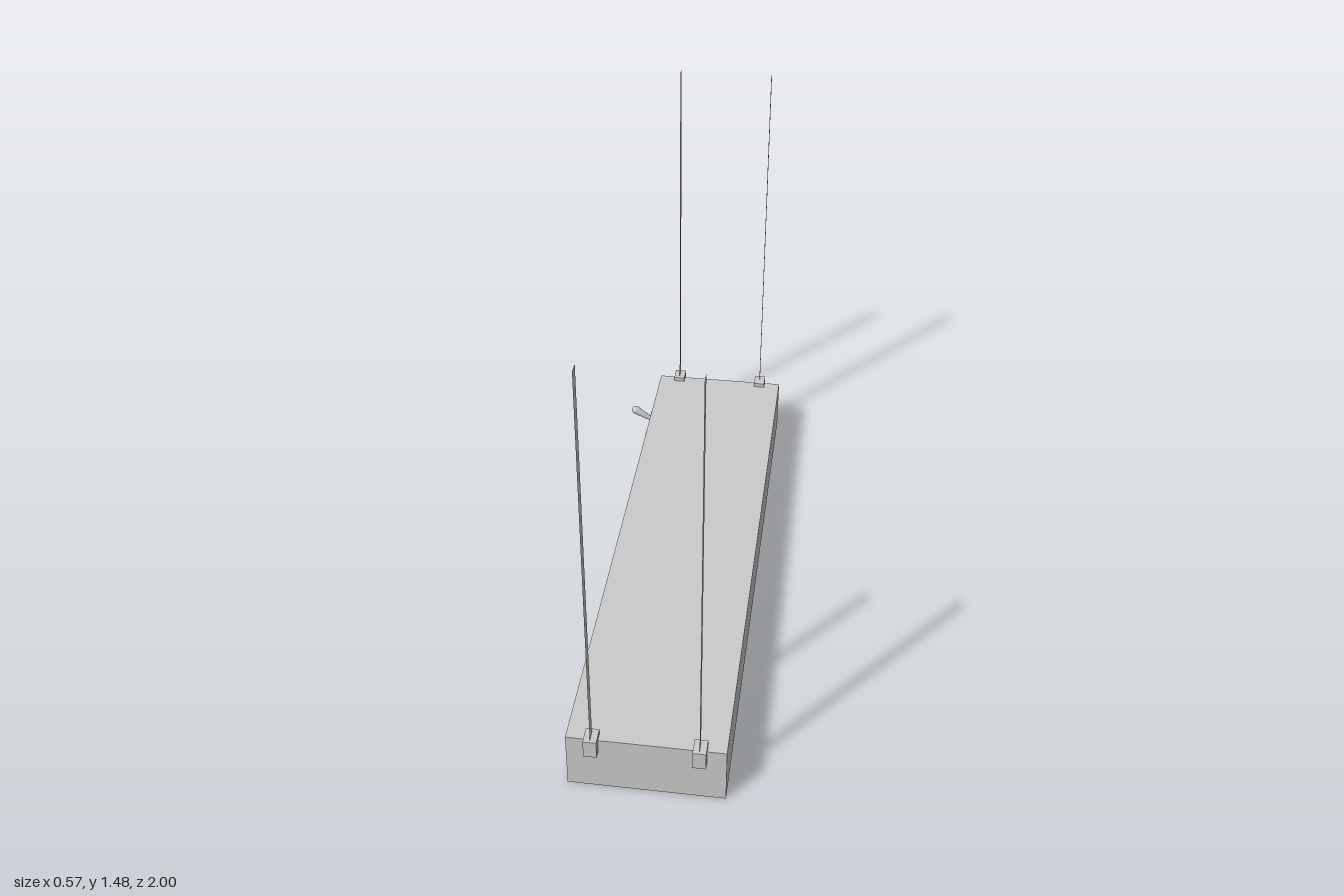
import * as THREE from 'three';

const mat = new THREE.MeshStandardMaterial({ color: 0xcccccc });
const thinMat = new THREE.MeshStandardMaterial({ color: 0xcccccc, side: THREE.DoubleSide });

const X0 = -0.19, X1 = 0.285, CX = (X0 + X1) / 2, HALF = 0.975, TOP = 0.19, DEPTH = 0.07;

function add(parent, name, geo, x, y, z, material = mat) {
  const mesh = new THREE.Mesh(geo, material);
  mesh.name = name;
  mesh.position.set(x, y, z);
  parent.add(mesh);
  return mesh;
}

// Rectangle outline from two corners
function rect(Kind, x0, y0, x1, y1) {
  return new Kind([[x0, y0], [x1, y0], [x1, y1], [x0, y1]].map(p => new THREE.Vector2(...p)));
}

export function createModel() {
  const group = new THREE.Group();
  group.name = 'hangingLamp';

  // Housing: solid upper part over a lower frame with two lamp openings
  add(group, 'housingTop', new THREE.BoxGeometry(X1 - X0, TOP - DEPTH, HALF * 2), CX, (TOP + DEPTH) / 2, 0);
  const outline = rect(THREE.Shape, X0, -HALF, X1, HALF);
  for (const [a, b] of [[0.053, 0.76], [-0.76, -0.053]]) {
    outline.holes.push(rect(THREE.Path, -0.076, a, 0.171, b));
  }
  const frame = new THREE.ExtrudeGeometry(outline, { depth: DEPTH, bevelEnabled: false });
  frame.rotateX(Math.PI / 2);
  add(group, 'housingFrame', frame, 0, DEPTH, 0);

  // Three fluorescent tubes in each opening
  const tube = new THREE.CylinderGeometry(0.033, 0.033, 0.7, 24).rotateX(Math.PI / 2);
  for (const s of [-1, 1]) {
    for (const i of [-1, 0, 1]) add(group, 'lampTube', tube, CX + i * 0.078, 0.04, s * 0.4065);
  }

  // L-shaped corner brackets, each carrying a flat hanging strap
  const clip = new THREE.Shape([[0.945, TOP], [0.975, TOP], [0.975, 0.145], [1, 0.145], [1, 0.205], [0.945, 0.205]]
    .map(p => new THREE.Vector2(...p)));
  const clipGeo = new THREE.ExtrudeGeometry(clip, { depth: 0.04, bevelEnabled: false });
  clipGeo.translate(0, 0, -0.02).rotateY(-Math.PI / 2);
  const strapGeo = new THREE.PlaneGeometry(0.034, 1.285).rotateY(Math.PI / 2);
  for (const x of [-0.113, 0.207]) {
    for (const s of [-1, 1]) {
      const hanger = new THREE.Group();
      hanger.name = 'hanger';
      hanger.position.x = x;
      hanger.rotation.y = s > 0 ? 0 : Math.PI;
      add(hanger, 'bracket', clipGeo, 0, 0, 0);
      add(hanger, 'strap', strapGeo, 0, 0.8325, 0.975, thinMat);
      group.add(hanger);
    }
  }

  // Switch collars on the side
  const collar = new THREE.CylinderGeometry(0.031, 0.031, 0.017, 24).rotateZ(Math.PI / 2);
  for (const z of [-0.81, -0.67]) add(group, 'switchCollar', collar, X0 - 0.0085, 0.09, z);

  // Toggle lever: tapered stem with a rounded tip
  const profile = [[0.008, 0], [0.009, 0.02], [0.016, 0.079]];
  for (let i = 1; i <= 6; i++) {
    const a = (i / 6) * Math.PI / 2;
    profile.push([0.016 * Math.cos(a), 0.079 + 0.016 * Math.sin(a)]);
  }
  const lever = add(group, 'switchLever',
    new THREE.LatheGeometry(profile.map(p => new THREE.Vector2(...p)), 20), -0.2, 0.086, -0.81);
  lever.rotation.z = Math.PI / 2 - 0.54;

  return group;
}
